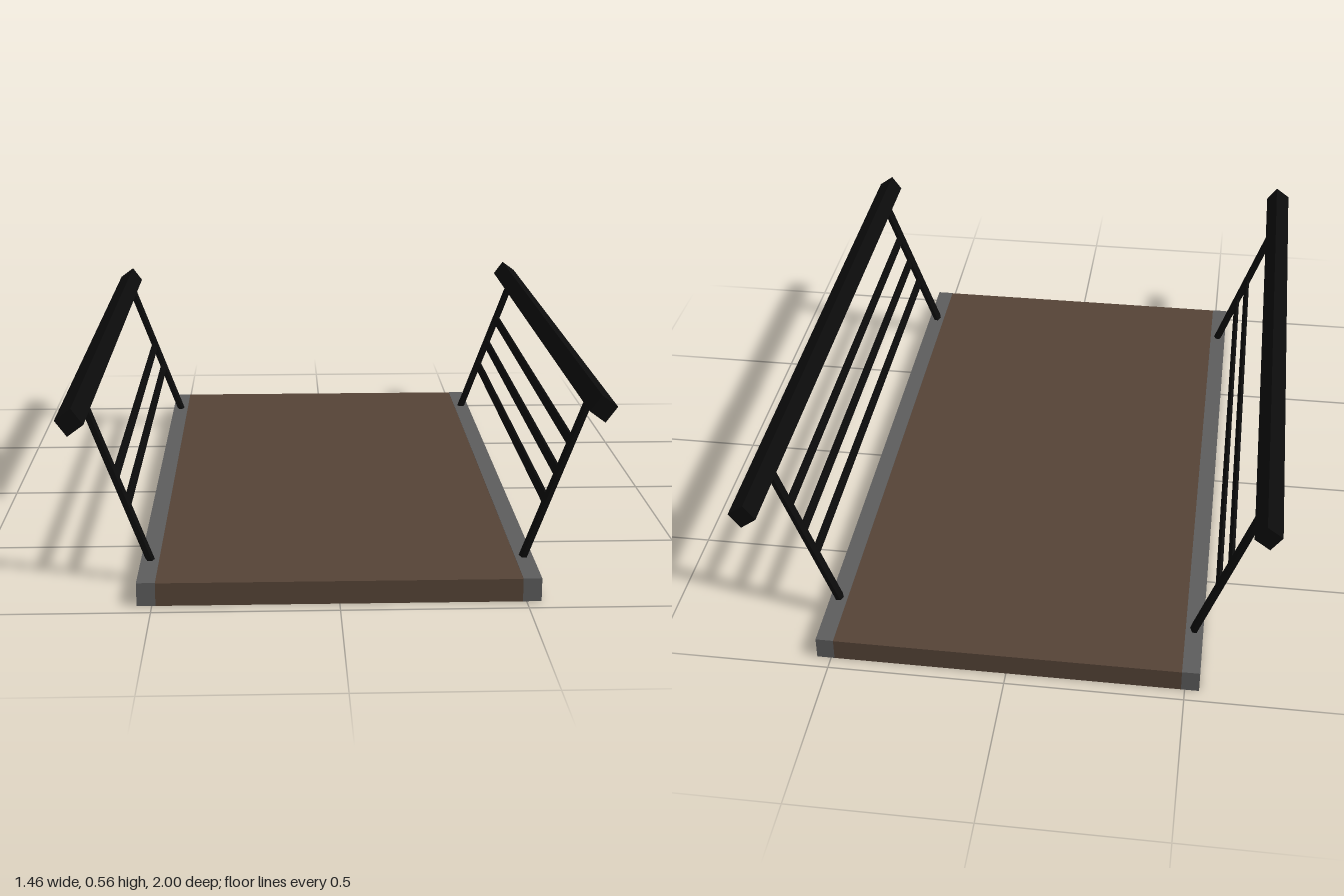
import * as THREE from 'three';

const black = new THREE.MeshStandardMaterial({ name: 'blackMetal', color: 0x0b0b0b });
const grey = new THREE.MeshStandardMaterial({ name: 'greyEdging', color: 0x5c5c5c });
const brown = new THREE.MeshStandardMaterial({ name: 'brownDeck', color: 0x554336 });

const SLOPE = 0.37; // outward lean of a railing: x gained per unit of height
const TILT = -Math.atan(SLOPE);
const leanX = (y) => 0.515 + (y - 0.065) * SLOPE;

function add(parent, name, geometry, material, x, y, z, tilt = 0) {
  const mesh = new THREE.Mesh(geometry, material);
  mesh.name = name;
  mesh.position.set(x, y, z);
  mesh.rotation.z = tilt;
  parent.add(mesh);
  return mesh;
}

// Leaning hexagonal post with its points facing in and out
function addPost(parent, name, z, width) {
  const bottom = 0.05, top = 0.51, mid = (bottom + top) / 2;
  const length = (top - bottom) * Math.hypot(1, SLOPE);
  const geometry = new THREE.CylinderGeometry(1, 1, length, 6).rotateY(Math.PI / 2).toNonIndexed();
  geometry.scale(0.012, 1, width / Math.sqrt(3));
  geometry.computeVertexNormals();
  add(parent, name, geometry, black, leanX(mid), mid, z, TILT);
}

// One railing on the +x side: handrail, two posts and thin cross bars
function makeRailing(name, barHeights) {
  const railing = new THREE.Group();
  railing.name = name;
  add(railing, 'handrail', new THREE.BoxGeometry(0.053, 0.053, 1.915), black, 0.692, 0.521, -0.0425, -0.63);
  addPost(railing, 'frontPost', 0.777, 0.043);
  addPost(railing, 'backPost', -0.775, 0.032);
  barHeights.forEach((y, i) =>
    add(railing, `crossBar${i + 1}`, new THREE.BoxGeometry(0.008, 0.027, 1.55), black, leanX(y), y, 0, TILT));
  return railing;
}

export function createModel() {
  const model = new THREE.Group();
  model.name = 'footbridge';

  // Deck with edging along both long sides
  add(model, 'deck', new THREE.BoxGeometry(0.98, 0.064, 1.915), brown, 0, 0.032, -0.003);
  for (const side of [1, -1]) {
    add(model, side > 0 ? 'leftEdging' : 'rightEdging',
      new THREE.BoxGeometry(0.05, 0.065, 1.915), grey, side * 0.515, 0.0325, -0.003);
  }

  // The second railing is the first turned half round, with one bar fewer
  const left = makeRailing('leftRailing', [0.222, 0.302, 0.39]);
  const right = makeRailing('rightRailing', [0.222, 0.302]);
  right.rotation.y = Math.PI;
  model.add(left, right);

  return model;
}
